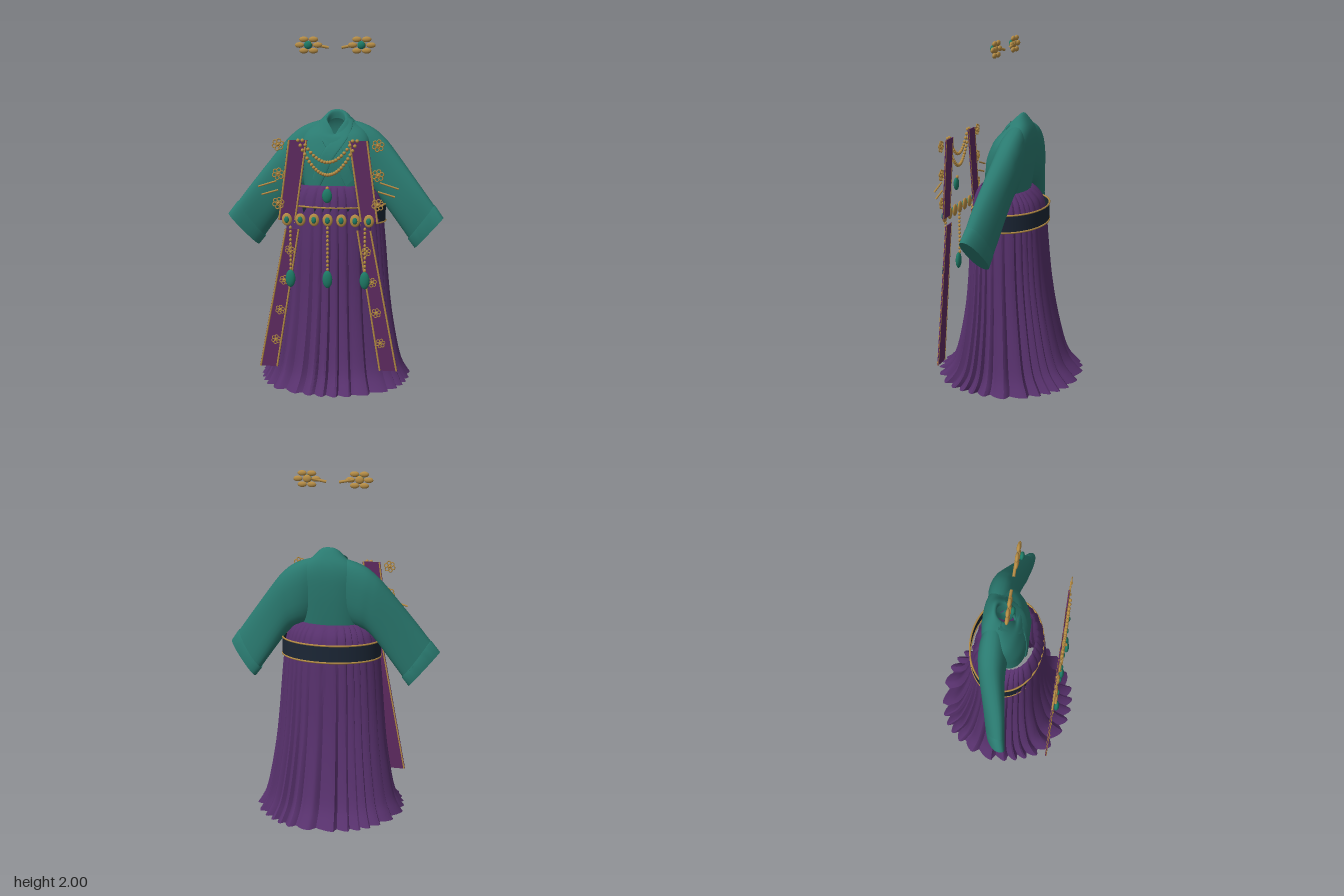
import * as THREE from 'three';
import { toCreasedNormals } from 'three/addons/utils/BufferGeometryUtils.js';

const mat = (color, side = THREE.FrontSide) => new THREE.MeshStandardMaterial({ color, side });
const teal = mat(0x2a7a70, THREE.DoubleSide), purple = mat(0x56306b, THREE.DoubleSide);
const navy = mat(0x1b2635, THREE.DoubleSide), plum = mat(0x5e2a60);
const gold = mat(0xb58c45), gem = mat(0x1e7a66);
const V = (x, y, z) => new THREE.Vector3(x, y, z);

function add(parent, name, geo, material, x = 0, y = 0, z = 0) {
  const m = new THREE.Mesh(geo, material);
  m.name = name;
  m.position.set(x, y, z);
  parent.add(m);
  return m;
}

// Smoothly subdivides rows of numbers (Catmull-Rom on every column)
function refine(rows, n) {
  const out = [], last = rows.length - 1;
  for (let k = 0; k <= last * n; k++) {
    const i = Math.min(Math.floor(k / n), last - 1), t = k / n - i;
    const [a, b, c, d] = [i - 1, i, i + 1, i + 2].map(j => rows[Math.max(0, Math.min(last, j))]);
    out.push(b.map((p, q) => p + 0.5 * t * (c[q] - a[q] + t * (2 * a[q] - 5 * p + 4 * c[q] - d[q]
      + t * (3 * (p - c[q]) + d[q] - a[q])))));
  }
  return out;
}

// Joins closed rings of points into a surface
function loft(rings) {
  const n = rings[0].length, idx = [];
  for (let i = 0; i < rings.length - 1; i++) for (let j = 0; j < n; j++) {
    const k = (j + 1) % n, a = i * n + j, b = i * n + k, c = b + n, d = a + n;
    idx.push(a, b, c, a, c, d);
  }
  const g = new THREE.BufferGeometry().setFromPoints(rings.flat());
  g.setIndex(idx);
  g.computeVertexNormals();
  return g;
}
const circle = (n, f) => Array.from({ length: n }, (_, i) => f(i / n * Math.PI * 2));
const pw = (v, e) => Math.sign(v) * Math.abs(v) ** e;

// Rows of [top xyz, bottom xyz, half thickness], mirrored by s
const flatTube = (rows, s, dir, n = 28) => loft(rows.map(r => circle(n, a => {
  const c = pw(Math.cos(a), 0.85), k = pw(Math.sin(a), 0.85) * r[6];
  const mid = q => (r[q] + r[q + 3]) / 2 + c * (r[q] - r[q + 3]) / 2;
  return V(s * mid(0), mid(1) + dir.y * k, mid(2) + dir.z * k);
})));

function ellipsoid(parent, name, m, x, y, z, rx, ry, rz) {
  return add(parent, name, new THREE.SphereGeometry(1, 14, 10), m, x, y, z).scale.set(rx, ry, rz);
}
function rod(parent, name, a, b, r) {
  add(parent, name, new THREE.TubeGeometry(new THREE.LineCurve3(a, b), 1, r, 8), gold);
}

// Pleated skirt: y, half width, front z, back z, pleat depth; the waist dips at the back
function skirt(g) {
  const rows = refine([
    [1.16, .192, .162, -.11, .007], [1.145, .222, .178, -.132, .011], [1.1, .253, .199, -.168, .012],
    [1.04, .27, .212, -.188, .011], [.95, .282, .22, -.2, .01], [.8, .296, .229, -.211, .012],
    [.6, .31, .239, -.229, .017], [.4, .329, .26, -.26, .021], [.2, .36, .296, -.305, .025],
    [.09, .385, .332, -.345, .027], [.03, .414, .382, -.394, .028], [0, .434, .425, -.427, .028]], 3).reverse();
  const pleats = 30;
  const rings = rows.map(([y, rx, zf, zb, depth]) => circle(pleats * 8, a => {
    const u = (a / (2 * Math.PI) * pleats + 0.35 * Math.sin(a * 5) + 1) % 1;
    const saw = u < 0.8 ? Math.sin(u / 0.8 * Math.PI / 2) : (1 - u) / 0.2;
    const k = 1 + depth / 0.3 * (saw - 0.75) + depth * 0.3 * Math.sin(a * 7 + 1);
    const c = pw(Math.cos(a), 0.96);
    return V(rx * k * pw(Math.sin(a), 0.96), y - Math.max(0, y - 1) * 0.08 * (1 - c),
      (zf + zb) / 2 + (zf - zb) / 2 * k * c);
  }));
  add(g, 'pleatedSkirt', toCreasedNormals(loft(rings), 0.6), purple);
}

// Wrapped jacket with wide sleeves
function jacket(g) {
  // half width, front z, back z, front y, back y, pinch towards the front of the neckline
  const rows = refine([
    [.181, .125, -.104, 1.14, 1.13, 0], [.19, .127, -.118, 1.22, 1.22, 0], [.2, .122, -.131, 1.31, 1.32, 0],
    [.2, .09, -.138, 1.39, 1.42, 0], [.165, .068, -.13, 1.43, 1.49, .05], [.105, .052, -.105, 1.44, 1.545, .25],
    [.07, .044, -.078, 1.445, 1.58, .5], [.053, .04, -.06, 1.44, 1.572, .7], [.05, .038, -.062, 1.42, 1.53, .7]], 4);
  add(g, 'jacketBody', loft(rows.map(([rx, zf, zb, yf, yb, pinch]) => circle(48, a => {
    const c = Math.cos(a), t = (1 - c) / 2;
    return V(rx * pw(Math.sin(a), 0.82) * (1 - pinch * Math.max(0, c)), yf + (yb - yf) * t ** 0.7,
      (zf + zb) / 2 + (zf - zb) / 2 * pw(c, 0.8));
  }))), teal);

  const sleeve = refine([
    [.065, 1.525, -.068, .1, 1.16, -.03, .062], [.14, 1.507, -.068, .14, 1.13, -.03, .078],
    [.21, 1.477, -.065, .18, 1.12, -.04, .079], [.265, 1.435, -.06, .22, 1.1, -.04, .075],
    [.325, 1.37, -.045, .27, 1.05, -.038, .071], [.48, 1.17, .008, .37, .915, -.03, .06],
    [.585, 1.03, .035, .435, .825, -.023, .051]], 4);
  // the cuff is closed at its end
  const cuff = [[.578, 1.042, .033, .424, .832, -.023, .051], [.584, 1.038, .034, .425, .828, -.023, .053],
    [.632, .972, .052, .464, .778, -.02, .046], [.548, .875, .016, .548, .875, .016, 0]];
  // collar bands: inner edge, outer edge, thickness
  const band = refine([[.057, 1.54, -.025, .1, 1.52, -.03, .004], [.036, 1.485, .014, .092, 1.46, .032, .005],
    [0, 1.43, .056, .062, 1.4, .086, .005], [-.055, 1.36, .104, 0, 1.31, .122, .005],
    [-.09, 1.28, .119, -.04, 1.22, .126, .005], [-.12, 1.2, .118, -.075, 1.15, .124, .005]], 4);
  for (const s of [1, -1]) {
    const side = s > 0 ? 'left' : 'right';
    add(g, side + 'Sleeve', flatTube(sleeve, s, V(0, 0, 1)), teal);
    add(g, side + 'Cuff', toCreasedNormals(flatTube(cuff, s, V(0, 0, 1)), 0.7), teal);
    add(g, side + 'CollarBand', flatTube(band, s, V(0, .4, .9), 16), teal, 0, 0, s > 0 ? .002 : -.002);
  }
}

// Broad sash ring with gold edges
function sash(g) {
  const hoop = new THREE.CylinderGeometry(1, 1, .1, 72, 1, true).scale(.293, 1, .214);
  add(g, 'sash', hoop, navy, 0, .99, -.004);
  for (const y of [.94, 1.04]) {
    const path = new THREE.CatmullRomCurve3(circle(48, a => V(.292 * Math.sin(a), y, -.004 + .214 * Math.cos(a))), true);
    add(g, 'sashTrim', new THREE.TubeGeometry(path, 96, .0055, 6, true), gold);
  }
}

// Small wire flower: ring petals around a bead
function blossom(g, name, x, y, z, r) {
  const f = new THREE.Group();
  f.name = name;
  f.position.set(x, y, z);
  for (let i = 0; i < 6; i++) {
    const a = i * Math.PI / 3 + .3;
    add(f, 'petal', new THREE.TorusGeometry(r * .32, r * .1, 6, 12), gold, r * .65 * Math.cos(a), r * .65 * Math.sin(a), 0);
  }
  ellipsoid(f, 'flowerCentre', gold, 0, 0, 0, r * .28, r * .28, r * .28);
  g.add(f);
}

// Slanted hanging panels, with flowers and pins at their sides
function panels(g, s) {
  // top y, inner x, outer x, then the same at the bottom
  for (const [ty, ti, to, by, bi, bo] of [[1.435, .115, .224, .985, .18, .283], [.935, .16, .245, .13, .29, .397]]) {
    const shape = new THREE.Shape([[ti, ty], [to, ty], [bo, by], [bi, by]].map(([x, y]) => new THREE.Vector2(s * x, y)));
    add(g, 'hangingPanel', new THREE.ExtrudeGeometry(shape, { depth: .006, bevelEnabled: false }), plum, 0, 0, .309);
    rod(g, 'panelTrim', V(s * (ti + .006), ty, .313), V(s * (bi + .006), by, .313), .006);
    rod(g, 'panelTrim', V(s * (to - .006), ty, .313), V(s * (bo - .006), by, .313), .006);
  }
  for (const [x, y] of [[.217, .815], [.25, .64], [.275, .465], [.3, .29]]) blossom(g, 'panelFlower', s * x, y, .318, .027);
  for (const y of [1.41, 1.245, 1.08]) blossom(g, 'sideFlower', s * .28, y, .318, .034);
  rod(g, 'pin', V(s * .29, 1.205, .315), V(s * .395, 1.172, .315), .005);
  rod(g, 'pin', V(s * .28, 1.155, .315), V(s * .375, 1.127, .315), .005);
}

// Bead necklaces, medallions and pendants
function jewels(g) {
  for (const [half, low, n] of [[.14, 1.315, 19], [.165, 1.245, 27]])
    for (let i = 0; i < n; i++) {
      const t = i / (n - 1) * 2 - 1;
      ellipsoid(g, 'necklaceBead', gold, half * t, low + (1.435 - low) * t * t, .326, .01, .01, .009);
    }
  for (let i = -3; i <= 3; i++) {
    ellipsoid(g, 'medallion', gold, i * .077, .99, .323, .029, .036, .01);
    ellipsoid(g, 'medallionStone', gem, i * .077, .99, .333, .014, .019, .009);
  }
  ellipsoid(g, 'chestPendant', gem, 0, 1.13, .344, .028, .04, .014);
  ellipsoid(g, 'pendantCap', gold, 0, 1.172, .338, .01, .01, .008);
  for (const x of [-.21, 0, .21]) {
    for (let i = 0; i < 11; i++) ellipsoid(g, 'strandBead', gold, x, .945 - i * .0235, .328, .008, .01, .008);
    ellipsoid(g, 'dropPendant', gem, x, .655, .336, .028, .05, .016);
  }
}

// Floating flower hairpin
function hairpin(g, s) {
  const p = new THREE.Group();
  p.name = s > 0 ? 'leftHairpin' : 'rightHairpin';
  p.position.set(s * .153, 1.953, .03);
  for (const [x, y] of [[.053, 0], [-.053, 0], [.028, .032], [-.028, .032], [.028, -.032], [-.028, -.032]])
    ellipsoid(p, 'petal', gold, x, y, 0, .027, .016, .011);
  ellipsoid(p, 'flowerCentre', gold, 0, 0, .004, .026, .022, .012);
  ellipsoid(p, 'centreStone', gem, 0, 0, .022, .023, .023, .013);
  rod(p, 'hairpinStem', V(-s * .03, .002, -.004), V(-s * .116, -.014, -.004), .008);
  g.add(p);
}

export function createModel() {
  const g = new THREE.Group();
  g.name = 'ceremonialCostume';
  skirt(g);
  jacket(g);
  sash(g);
  jewels(g);
  for (const s of [1, -1]) {
    panels(g, s);
    hairpin(g, s);
  }
  return g;
}
